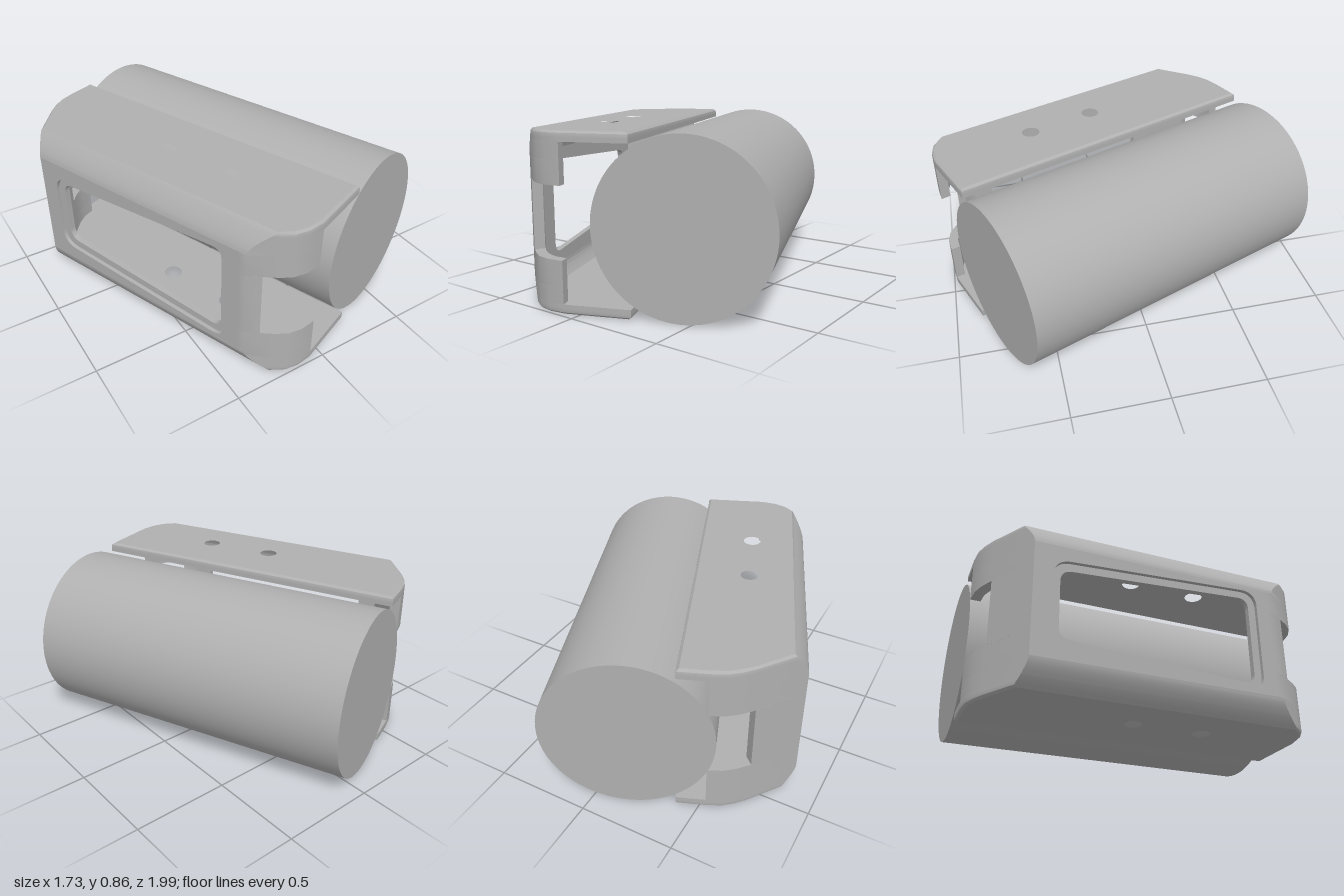
import * as THREE from 'three';
import { toCreasedNormals } from 'three/addons/utils/BufferGeometryUtils.js';

const MID = 0.43; // half height; everything mirrors about this level

// Plan profiles [across, along] of the bracket's two end corners
const frontOuter = [[-0.68, 0.663], [-0.6, 0.79], [-0.56, 0.838], [-0.5, 0.872], [-0.42, 0.89]];
const frontInner = [[-0.63, 0.64], [-0.57, 0.745], [-0.53, 0.79], [-0.48, 0.825], [-0.42, 0.84]];
const backOuter = [[-0.68, -0.636], [-0.44, -0.79], [-0.38, -0.82], [-0.32, -0.84], [-0.24, -0.847]];
const backInner = [[-0.63, -0.6], [-0.42, -0.735], [-0.37, -0.765], [-0.31, -0.788], [-0.24, -0.795]];
const holes = [[-0.378, -0.019], [-0.378, 0.357]];

const shapeOf = (pts) => new THREE.Shape(pts.map(([u, v]) => new THREE.Vector2(u, -v)));

// The long side leans inward toward the top and bottom
function bend(u, v, y) {
  if (u > -0.61) return [u, v];
  const t = Math.max(0, Math.abs(y - MID) - 0.3) / 0.13;
  const s = 0.075 * Math.pow(t, 1.5);
  return [u + s, v + (v > 0 ? 1.6 : -0.642) * s];
}

// Round the outer rim of a flange, leaving its bolt holes alone
function roundRim(u, v, y) {
  if (holes.some(([a, b]) => Math.hypot(u - a, v - b) < 0.06)) return [u, v];
  const d = Math.min(1, Math.max(0, (Math.abs(y - MID) - 0.41) / 0.02));
  const inset = 0.015 * (1 - Math.sqrt(1 - d * d));
  return [u > -0.2 ? u - inset : u, Math.abs(v) > 0.6 ? v - Math.sign(v) * inset : v];
}

// Upright slab of a plan shape between two heights, then bent by rule
function slab(shape, y0, y1, steps, rim = false) {
  const geo = new THREE.ExtrudeGeometry(shape, { depth: y1 - y0, steps, bevelEnabled: false, curveSegments: 20 });
  geo.rotateX(-Math.PI / 2).translate(0, y0, 0);
  const p = geo.attributes.position;
  for (let i = 0; i < p.count; i++) {
    const y = p.getY(i);
    let [u, v] = bend(p.getX(i), p.getZ(i), y);
    if (rim) [u, v] = roundRim(u, v, y);
    p.setXYZ(i, u, y, v);
  }
  return toCreasedNormals(geo, 0.6);
}

// Rounded trapezoid for the side window, taller at the front
function windowPath(inset, r) {
  const c = [[-0.54, 0.21], [0.56, 0.145], [0.56, 0.715], [-0.54, 0.65]].map(([v, y]) =>
    new THREE.Vector2(v + (v < 0 ? inset : -inset), y + (y < MID ? inset : -inset)));
  const path = new THREE.Path();
  c.forEach((p, i) => {
    const toward = (q) => p.clone().add(q.clone().sub(p).setLength(r));
    const a = toward(c[(i + 3) % 4]), b = toward(c[(i + 1) % 4]);
    if (i === 0) path.moveTo(a.x, a.y); else path.lineTo(a.x, a.y);
    path.quadraticCurveTo(p.x, p.y, b.x, b.y);
  });
  path.closePath();
  return path;
}

export function createModel() {
  const model = new THREE.Group();
  const grey = new THREE.MeshStandardMaterial({ color: 0xb0b0b0 });
  grey.name = 'plain grey';
  const body = new THREE.Group();
  body.name = 'angledAssembly';
  body.rotation.y = 0.373;
  model.add(body);
  const add = (name, geo) => {
    const mesh = new THREE.Mesh(geo, grey);
    mesh.name = name;
    body.add(mesh);
    return mesh;
  };

  // Large cylinder lying on its side
  const drum = add('cylinder', new THREE.CylinderGeometry(0.43, 0.43, 1.729, 96).rotateX(Math.PI / 2));
  drum.position.set(0.149, MID, 0.0175);

  // Top and bottom flanges with bolt holes
  const flange = shapeOf([[-0.09, 0.888], ...[...frontOuter].reverse(), ...backOuter, [-0.09, -0.847]]);
  for (const [u, v] of holes) {
    const hole = new THREE.Path();
    hole.absarc(u, -v, 0.047, 0, Math.PI * 2, true);
    flange.holes.push(hole);
  }
  add('bottomFlange', slab(flange, 0, 0.05, 5, true));
  add('topFlange', slab(flange, 0.81, 0.86, 5, true));

  // Wall bands next to the flanges, wrapping round both ends
  const band = shapeOf([...[...frontOuter].reverse(), ...backOuter, ...[...backInner].reverse(), ...frontInner]);
  add('lowerBand', slab(band, 0.05, 0.13, 5));
  add('upperBand', slab(band, 0.73, 0.81, 5));

  // End corners above and below the notches
  const frontCorner = shapeOf([[-0.68, 0.62], ...frontOuter, ...[...frontInner].reverse(), [-0.63, 0.62]]);
  const backCorner = shapeOf([[-0.68, -0.58], ...backOuter, ...[...backInner].reverse(), [-0.63, -0.58]]);
  for (const [y0, y1, level] of [[0.13, 0.26, 'Lower'], [0.61, 0.73, 'Upper']]) {
    add('front' + level + 'Corner', slab(frontCorner, y0, y1, 1));
    add('back' + level + 'Corner', slab(backCorner, y0, y1, 1));
  }

  // Narrow posts beside the end notches
  add('frontPost', slab(shapeOf([[-0.68, 0.62], [-0.68, 0.663], [-0.64, 0.729], [-0.598, 0.7],
    [-0.63, 0.64], [-0.63, 0.62]]), 0.26, 0.61, 1));
  add('backPost', slab(shapeOf([[-0.68, -0.58], [-0.68, -0.636], [-0.45, -0.784], [-0.425, -0.732],
    [-0.63, -0.6], [-0.63, -0.58]]), 0.26, 0.61, 1));

  // Long side wall: two layers give the window its stepped frame
  for (const [name, u, depth, inset, r] of [['windowFrame', -0.66, 0.02, 0, 0.09], ['windowLip', -0.63, 0.03, 0.04, 0.06]]) {
    const wall = new THREE.Shape([[-0.58, 0.13], [0.62, 0.13], [0.62, 0.73], [-0.58, 0.73]]
      .map(([v, y]) => new THREE.Vector2(v, y)));
    wall.holes.push(windowPath(inset, r));
    const geo = new THREE.ExtrudeGeometry(wall, { depth, bevelEnabled: false, curveSegments: 10 });
    add(name, toCreasedNormals(geo.rotateY(-Math.PI / 2).translate(u, 0, 0), 0.6));
  }
  return model;
}
